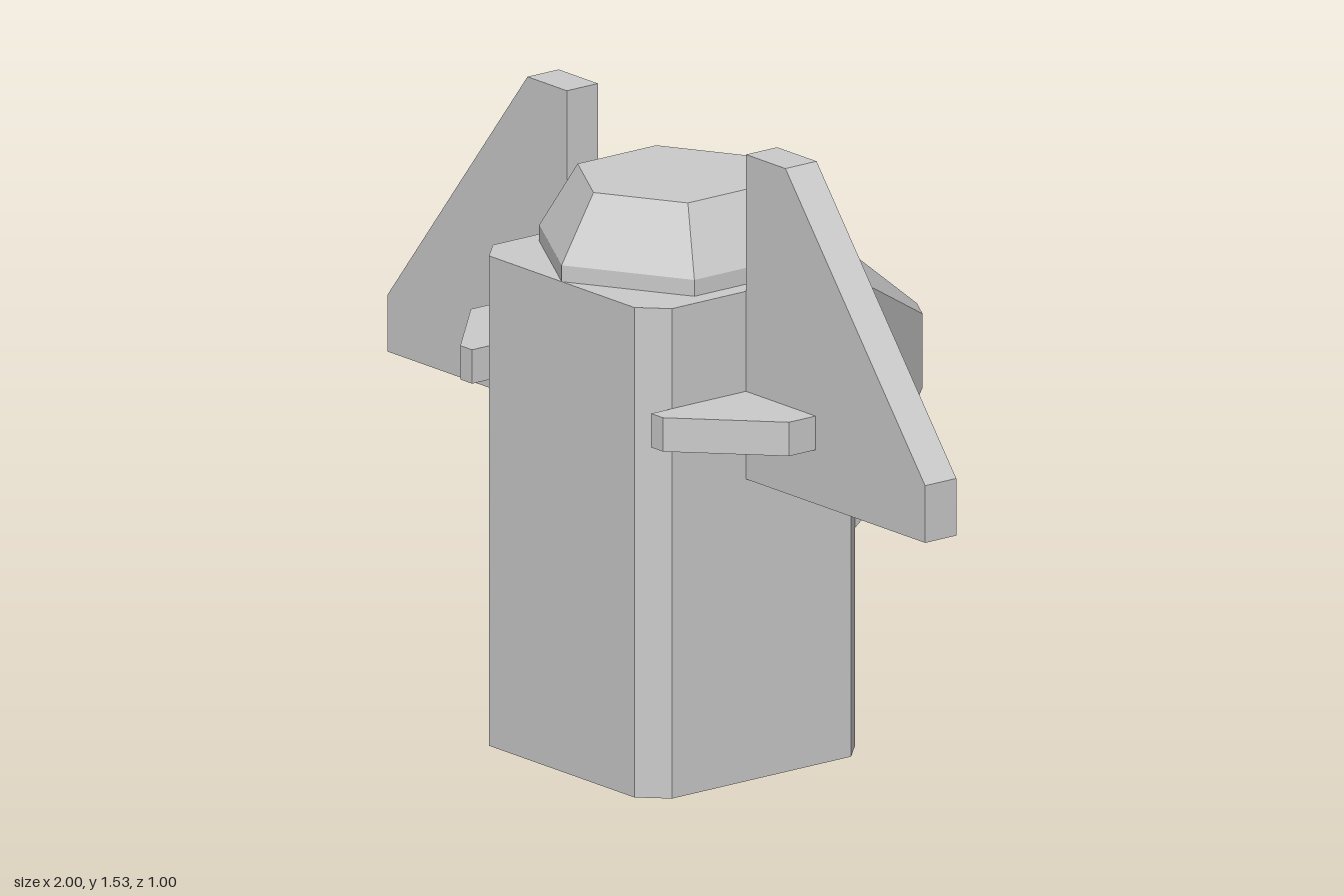
import * as THREE from 'three';

const mat = new THREE.MeshStandardMaterial({ color: 0xcccccc, flatShading: true });

function part(name, geometry) {
  const mesh = new THREE.Mesh(geometry, mat);
  mesh.name = name;
  return mesh;
}

function extrude(points, depth) {
  const shape = new THREE.Shape(points.map(([x, y]) => new THREE.Vector2(x, y)));
  return new THREE.ExtrudeGeometry(shape, { depth, bevelEnabled: false });
}

// Square outline with cut corners: half width h, corner cut c
function cutSquare(h, c) {
  const k = h - c;
  return [[h, -k], [h, k], [k, h], [-k, h], [-h, k], [-h, -k], [-k, -h], [k, -h]];
}

const H = 1 / 3;

export function createModel() {
  const model = new THREE.Group();
  model.name = 'wingedTower';

  // Everything but the backpack is symmetric about the body's axis
  const tower = new THREE.Group();
  tower.name = 'tower';
  tower.position.z = 1 / 6;
  model.add(tower);

  // Body
  tower.add(part('body', extrude(cutSquare(H, 0.063), 1.2).rotateX(-Math.PI / 2)));

  // Six-sided dome with a point to the front
  const profile = [[0, 1.2], [H, 1.2], [H, 1.24], [0.237, 1.4], [0, 1.4]]
    .map(([r, y]) => new THREE.Vector2(r, y));
  tower.add(part('dome', new THREE.LatheGeometry(profile, 6)));

  // Wing and flat side fin, turned half round for the other side
  const wing = extrude([[H, 0.74], [1, 0.74], [1, 0.88], [0.48, 1.535], [H, 1.535]], 0.094)
    .translate(0, 0, -0.047);
  const fin = extrude([[H, -H], [0.377, -H], [0.592, -0.127], [0.592, 0.127], [0.377, H], [H, H]], 0.083)
    .rotateX(-Math.PI / 2).translate(0, 0.872, 0);
  for (const side of ['left', 'right']) {
    const group = new THREE.Group();
    group.name = side + 'Side';
    group.rotation.y = side === 'left' ? 0 : Math.PI;
    group.add(part(side + 'Wing', wing), part(side + 'Fin', fin));
    tower.add(group);
  }

  // Backpack: cut-corner block tapering to a third at the rear
  const pack = extrude(cutSquare(H, 0.063), H);
  const pos = pack.attributes.position;
  for (let i = 0; i < pos.count; i++) {
    if (pos.getZ(i) < 0.01) pos.setXY(i, pos.getX(i) / 3, pos.getY(i) / 3);
  }
  pack.computeVertexNormals();
  const backpack = part('backpack', pack);
  backpack.position.set(0, 0.867, -0.5);
  model.add(backpack);

  return model;
}
